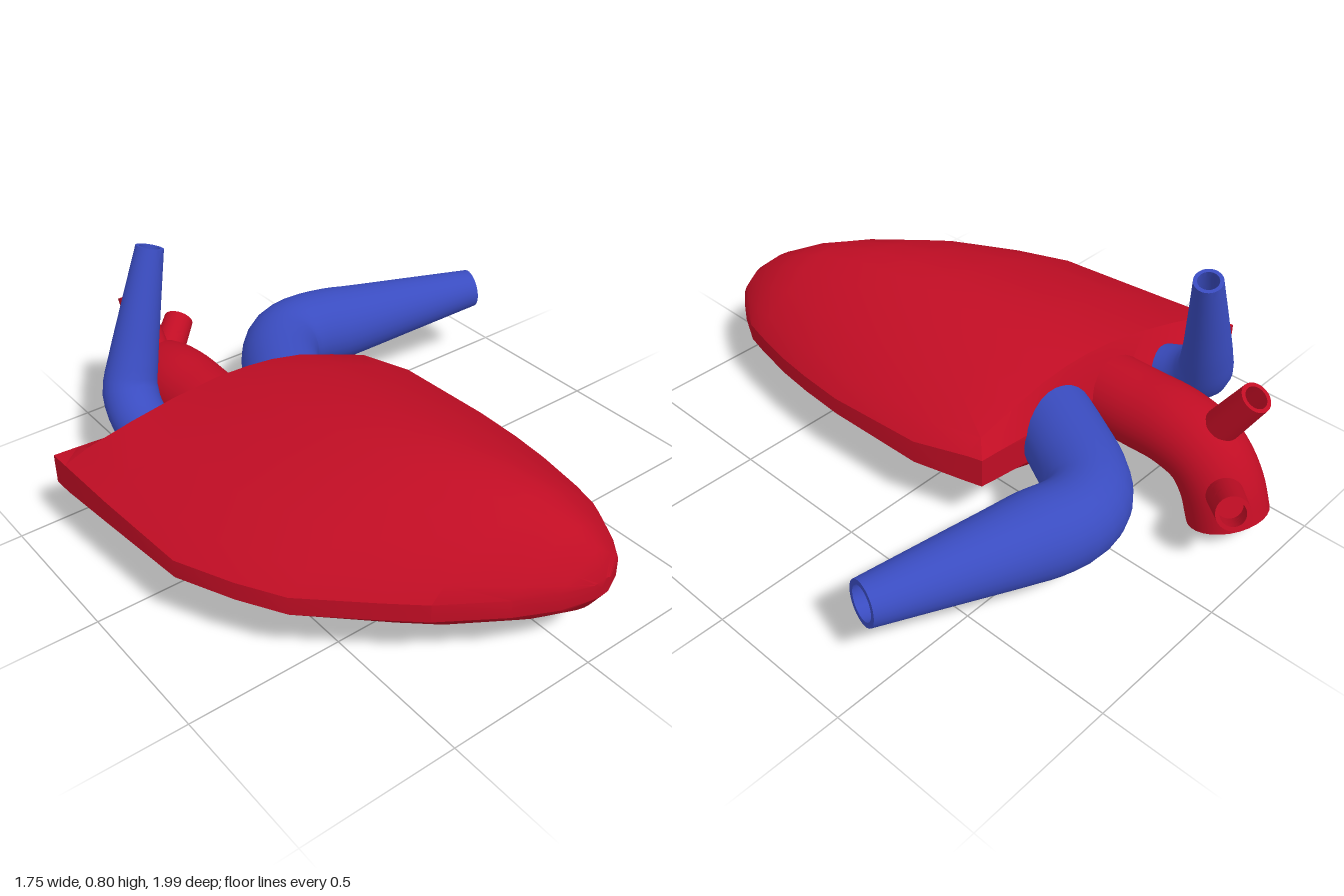
import * as THREE from 'three';
import { toCreasedNormals } from 'three/addons/utils/BufferGeometryUtils.js';

const V = (x, y, z) => new THREE.Vector3(x, y, z);

// Skin closed rings that run counter-clockwise about the direction of travel
function loft(rings, crease) {
  const n = rings[0].length, pos = [], index = [];
  rings.forEach(ring => ring.forEach(p => pos.push(p.x, p.y, p.z)));
  for (let i = 0; i < rings.length - 1; i++) {
    for (let j = 0; j < n; j++) {
      const k = (j + 1) % n;
      const a = i * n + j, b = i * n + k, c = a + n, d = b + n;
      index.push(a, b, d, a, d, c);
    }
  }
  const geo = new THREE.BufferGeometry();
  geo.setAttribute('position', new THREE.Float32BufferAttribute(pos, 3));
  geo.setIndex(index);
  return toCreasedNormals(geo, crease);
}

const collapse = ring => {
  const c = V(0, 0, 0);
  ring.forEach(p => c.add(p));
  c.divideScalar(ring.length);
  return ring.map(() => c.clone());
};

// Tapered vessel with an open, hollow far end
function vessel(name, points, r0, r1, taperFrom, wall, material, depth = 6) {
  const steps = 32, sides = 28;
  const curve = new THREE.CatmullRomCurve3(points.map(p => V(...p)));
  const { normals, binormals } = curve.computeFrenetFrames(steps);
  const ringAt = (i, inset) => {
    const u = i / steps, center = curve.getPointAt(u);
    const t = Math.max(0, (u - taperFrom) / (1 - taperFrom));
    const r = THREE.MathUtils.lerp(r0, r1, t) - inset;
    return Array.from({ length: sides }, (_, j) => {
      const a = j / sides * Math.PI * 2;
      return center.clone()
        .addScaledVector(normals[i], r * Math.cos(a))
        .addScaledVector(binormals[i], r * Math.sin(a));
    });
  };
  const rings = [collapse(ringAt(0, 0))];
  for (let i = 0; i <= steps; i++) rings.push(ringAt(i, 0));
  // inner wall folded back into the mouth
  for (let i = steps; i >= steps - depth; i--) rings.push(ringAt(i, wall));
  rings.push(collapse(ringAt(steps - depth, wall)));
  const mesh = new THREE.Mesh(loft(rings, 0.7), material);
  mesh.name = name;
  return mesh;
}

// Flattened, lopsided heart body
function heartBody(material) {
  // left x, left z, right x, right z, dome height, half rim thickness
  const stations = [
    [-0.88, -0.43, 0.23, -0.30, 0.01, 0.05],
    [-0.878, -0.36, 0.245, -0.25, 0.14, 0.05],
    [-0.865, -0.14, 0.30, -0.08, 0.19, 0.04],
    [-0.84, 0.20, 0.315, 0.26, 0.225, 0.03],
    [-0.76, 0.38, 0.305, 0.42, 0.23, 0.03],
    [-0.68, 0.52, 0.29, 0.55, 0.225, 0.03],
    [-0.50, 0.69, 0.26, 0.70, 0.205, 0.03],
    [-0.40, 0.78, 0.24, 0.78, 0.18, 0.03],
    [-0.22, 0.90, 0.18, 0.89, 0.125, 0.03],
    [-0.10, 0.96, 0.13, 0.955, 0.07, 0.03],
    [0.00, 0.99, 0.06, 0.99, 0.005, 0.025],
  ];
  // dome profile across the width: position, height
  const dome = [[0, 0], [0.07, 0.26], [0.2, 0.56], [0.33, 0.81], [0.47, 0.99],
    [0.56, 1.02], [0.64, 0.99], [0.73, 0.87], [0.84, 0.59], [0.95, 0.28], [1, 0]];
  const rings = stations.map(([xl, zl, xr, zr, h, rim]) => {
    const side = (u, y) => V(xl + (xr - xl) * u, y, zl + (zr - zl) * u);
    const top = dome.map(([u, f]) => side(u, 0.27 + rim + h * f)).reverse();
    const bottom = dome.map(([u, f]) => side(u, 0.27 - rim - h * f * 0.72));
    return [...top, ...bottom];
  });
  rings.unshift(collapse(rings[0]));
  rings.push(collapse(rings[rings.length - 1]));
  const mesh = new THREE.Mesh(loft(rings, 0.5), material);
  mesh.name = 'heartBody';
  return mesh;
}

export function createModel() {
  const red = new THREE.MeshStandardMaterial({ color: 0xc00d24 });
  red.name = 'arterialRed';
  const blue = new THREE.MeshStandardMaterial({ color: 0x3a4cc0 });
  blue.name = 'venousBlue';

  const group = new THREE.Group();
  group.name = 'heart';
  group.add(
    heartBody(red),
    // main arch, turning down at the back
    vessel('aorticArch', [[-0.345, 0.28, -0.24], [-0.34, 0.285, -0.45], [-0.34, 0.285, -0.60],
      [-0.34, 0.25, -0.71], [-0.34, 0.17, -0.775], [-0.34, 0.065, -0.815]],
      0.13, 0.13, 0.5, 0.015, red, 4),
    // two branches off the arch
    vessel('upperBranch', [[-0.35, 0.28, -0.69], [-0.35, 0.525, -0.842]],
      0.06, 0.05, 0, 0.013, red, 10),
    vessel('rearBranch', [[-0.32, 0.17, -0.79], [-0.12, 0.295, -0.953]],
      0.06, 0.052, 0, 0.013, red, 10),
    // wide vein sweeping out to the side
    vessel('sideVessel', [[-0.14, 0.28, -0.22], [-0.05, 0.28, -0.39], [0.04, 0.28, -0.54],
      [0.11, 0.28, -0.605], [0.20, 0.28, -0.625], [0.36, 0.283, -0.585],
      [0.60, 0.296, -0.522], [0.855, 0.31, -0.455]],
      0.133, 0.069, 0.55, 0.016, blue, 4),
    // narrow vein bending upward
    vessel('upperVessel', [[-0.53, 0.19, -0.10], [-0.555, 0.26, -0.33], [-0.562, 0.31, -0.47],
      [-0.545, 0.37, -0.54], [-0.51, 0.46, -0.565], [-0.46, 0.60, -0.585], [-0.388, 0.805, -0.61]],
      0.09, 0.045, 0.5, 0.012, blue, 4),
  );
  return group;
}
